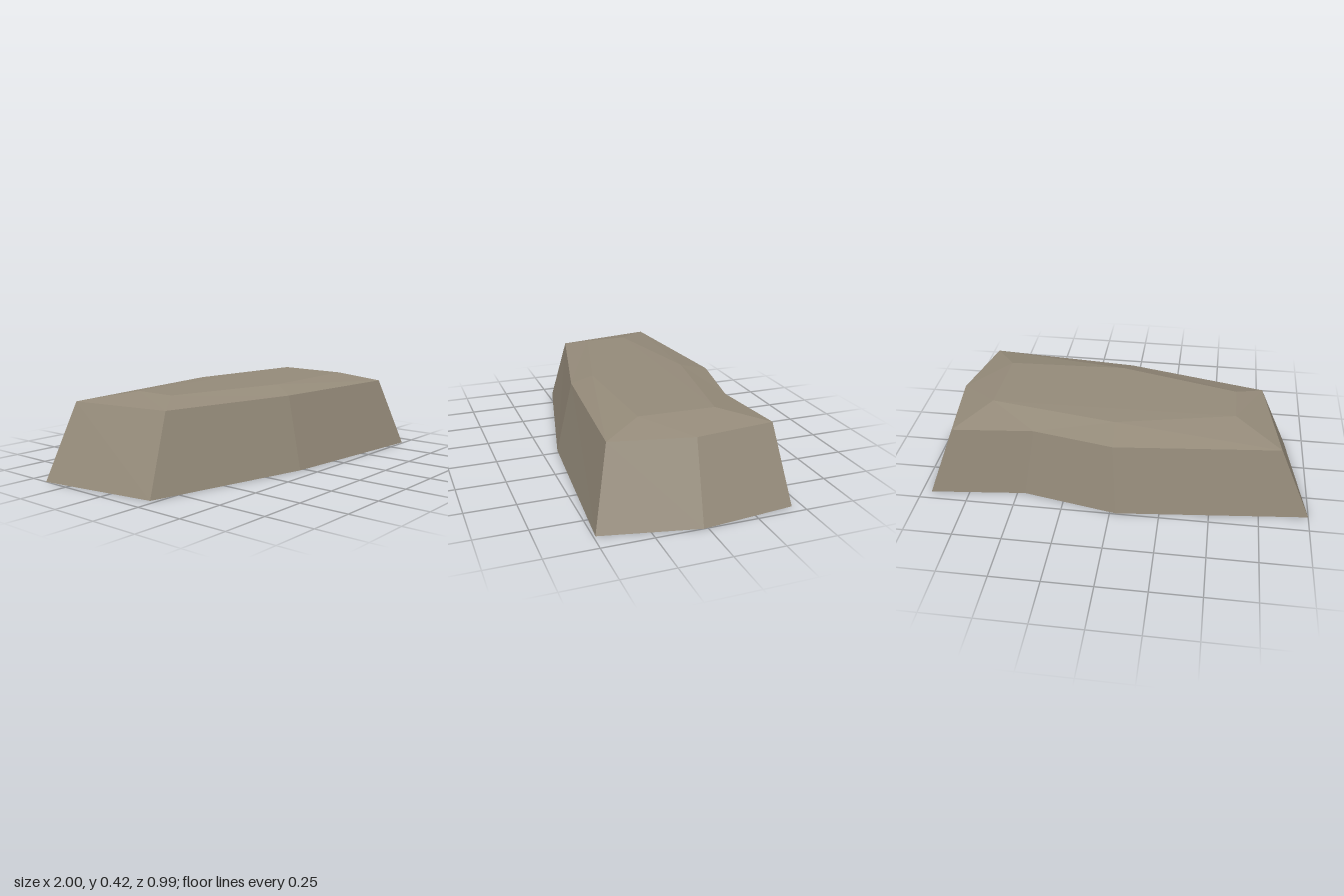
import * as THREE from 'three';

// Outlines as [x, z], clockwise from above, starting at the back corner on -x
const BASE = [[-1, -0.4], [-0.03, -0.495], [0.46, -0.4], [0.95, -0.45], [1, 0.02], [0.9, 0.49], [-0.03, 0.415], [-0.9, 0.22]];
const SHOULDER = [[-0.83, -0.36], [-0.01, -0.44], [0.4, -0.36], [0.81, -0.4], [0.855, 0], [0.77, 0.395], [-0.02, 0.33], [-0.74, 0.165]];
const CROWN = [[-0.6, -0.16], [0, -0.285], [0.65, -0.18], [0.64, 0.2], [0.02, 0.225], [-0.6, 0.065]];
// The crown has fewer corners, so two of them serve two shoulder corners each
const CROWN_FOR_SHOULDER = [0, 1, 1, 2, 2, 3, 4, 5];

const ring = (outline, y) => outline.map(([x, z]) => new THREE.Vector3(x, y, z));

function facets(triangles) {
  const points = triangles.filter(([a, b, c]) => a !== b && b !== c && a !== c).flat();
  const geometry = new THREE.BufferGeometry().setFromPoints(points);
  geometry.computeVertexNormals();
  return geometry;
}

// Band of facets between two rings with equal counts
function band(lower, upper) {
  const triangles = [];
  lower.forEach((p, i) => {
    const j = (i + 1) % lower.length;
    triangles.push([p, upper[i], upper[j]], [p, upper[j], lower[j]]);
  });
  return facets(triangles);
}

export function createModel() {
  const stone = new THREE.MeshStandardMaterial({ color: 0x958b7a, flatShading: true, side: THREE.DoubleSide });
  stone.name = 'stone';

  const base = ring(BASE, 0);
  const shoulder = ring(SHOULDER, 0.378);
  const crown = ring(CROWN, 0.422);
  crown[1].y = 0.418;

  const rock = new THREE.Group();
  rock.name = 'rock';
  const add = (name, geometry) => {
    const mesh = new THREE.Mesh(geometry, stone);
    mesh.name = name;
    rock.add(mesh);
  };

  // Leaning side walls, open underneath
  add('walls', band(base, shoulder));
  // Shallow bevel up to the crown
  add('bevel', band(shoulder, CROWN_FOR_SHOULDER.map((i) => crown[i])));
  // Nearly flat top
  add('top', facets(crown.slice(1, -1).map((p, i) => [crown[0], crown[i + 2], p])));

  return rock;
}
